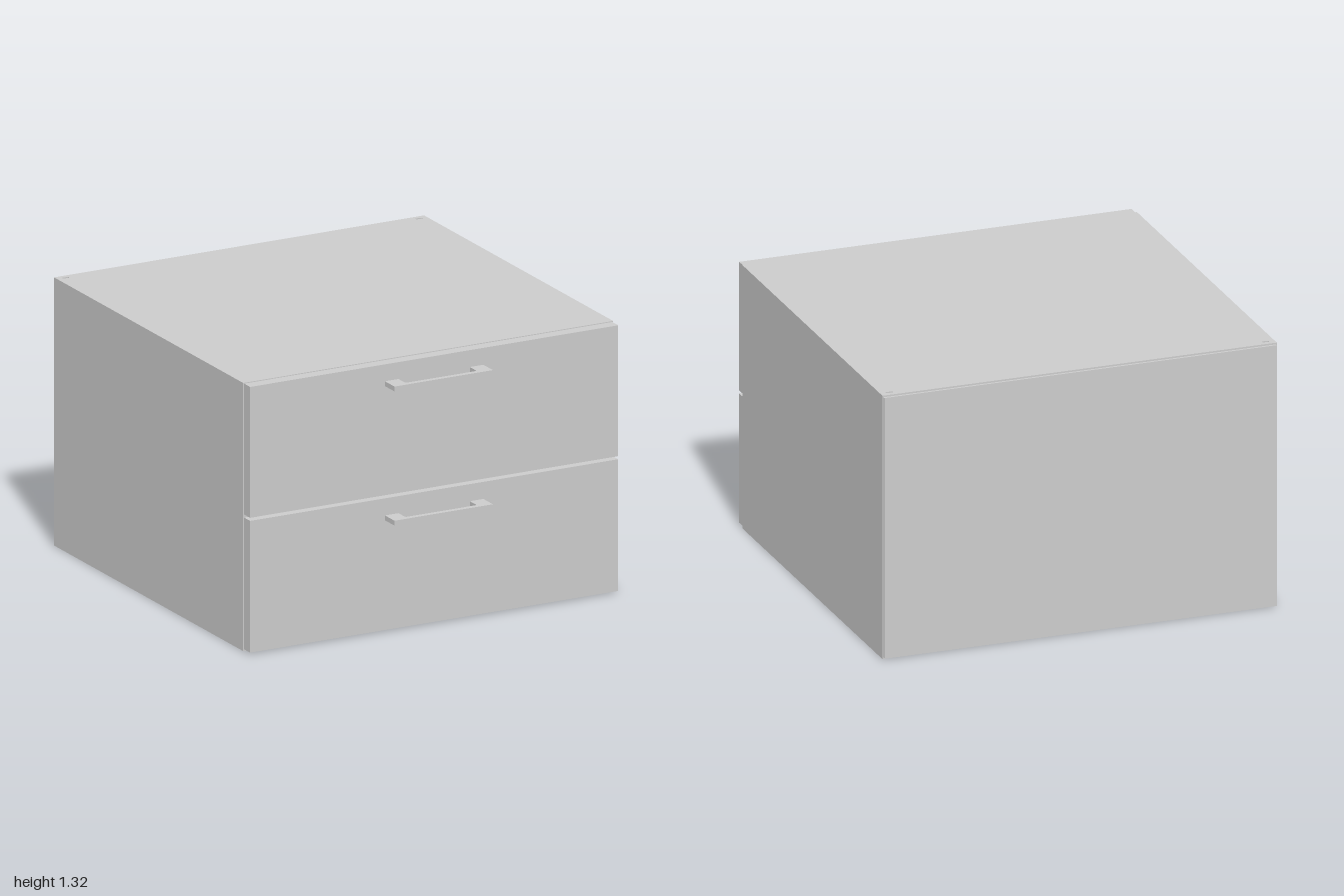
import * as THREE from 'three';

const material = new THREE.MeshStandardMaterial({ color: 0xcccccc });

function add(parent, name, geometry) {
  const mesh = new THREE.Mesh(geometry, material);
  mesh.name = name;
  parent.add(mesh);
  return mesh;
}

// Box given by its lower and upper limits on each axis
function box(parent, name, [x0, x1], [y0, y1], [z0, z1]) {
  const mesh = add(parent, name, new THREE.BoxGeometry(x1 - x0, y1 - y0, z1 - z0));
  mesh.position.set((x0 + x1) / 2, (y0 + y1) / 2, (z0 + z1) / 2);
  return mesh;
}

// Rounded rectangle traced into a shape or hole
function roundedRect(path, x0, y0, x1, y1, r) {
  path.moveTo(x0 + r, y0);
  path.lineTo(x1 - r, y0);
  path.absarc(x1 - r, y0 + r, r, -Math.PI / 2, 0);
  path.lineTo(x1, y1 - r);
  path.absarc(x1 - r, y1 - r, r, 0, Math.PI / 2);
  path.lineTo(x0 + r, y1);
  path.absarc(x0 + r, y1 - r, r, Math.PI / 2, Math.PI);
  path.lineTo(x0, y0 + r);
  path.absarc(x0 + r, y0 + r, r, Math.PI, Math.PI * 1.5);
  return path;
}

// Extrude a plan outline (x, z) upward from y = 0
function extrudePlan(shape, height) {
  const geometry = new THREE.ExtrudeGeometry(shape, { depth: height, bevelEnabled: false, curveSegments: 6 });
  return geometry.rotateX(Math.PI / 2).translate(0, height, 0);
}

const W = 0.985, H = 1.315, T = 0.02;   // half width, height, panel thickness
const BACK = -0.988, FRONT = 0.85;

// Top or bottom panel with a small slot in each rear corner
function slottedPanel() {
  const shape = new THREE.Shape();
  shape.moveTo(-W, BACK);
  shape.lineTo(W, BACK);
  shape.lineTo(W, FRONT);
  shape.lineTo(-W, FRONT);
  shape.closePath();
  for (const x of [-0.94, 0.94]) {
    shape.holes.push(roundedRect(new THREE.Path(), x - 0.017, -0.964, x + 0.017, -0.949, 0.007));
  }
  return extrudePlan(shape, T);
}

// U-shaped pull: two wide feet joined by a slim bar
function pullHandle() {
  const shape = new THREE.Shape();
  shape.moveTo(-0.262, 0.905);
  shape.lineTo(-0.19, 0.905);
  shape.lineTo(-0.19, 0.963);
  shape.quadraticCurveTo(-0.19, 0.975, -0.178, 0.975);
  shape.lineTo(0.178, 0.975);
  shape.quadraticCurveTo(0.19, 0.975, 0.19, 0.963);
  shape.lineTo(0.19, 0.905);
  shape.lineTo(0.262, 0.905);
  shape.lineTo(0.262, 1);
  shape.lineTo(-0.262, 1);
  shape.closePath();
  return extrudePlan(shape, 0.024);
}

function drawer(name, bottom, top, handleY) {
  const group = new THREE.Group();
  group.name = name;
  box(group, 'drawerFront', [-0.98, 0.98], [bottom, top], [FRONT, 0.908]);
  add(group, 'handle', pullHandle()).position.y = handleY;
  // Open tray behind the front
  const y0 = bottom + 0.05, y1 = top - 0.12;
  box(group, 'trayBottom', [-0.9, 0.9], [y0, y0 + T], [-0.85, FRONT]);
  box(group, 'trayBack', [-0.9, 0.9], [y0 + T, y1], [-0.85, -0.83]);
  for (const s of [-1, 1]) {
    box(group, 'traySide', [s * 0.89 - 0.01, s * 0.89 + 0.01], [y0 + T, y1], [-0.83, FRONT]);
  }
  return group;
}

export function createModel() {
  const model = new THREE.Group();
  model.name = 'drawerCabinet';

  // Carcass
  const carcass = new THREE.Group();
  carcass.name = 'carcass';
  model.add(carcass);
  add(carcass, 'bottomPanel', slottedPanel());
  add(carcass, 'topPanel', slottedPanel()).position.y = H - T;
  for (const s of [-1, 1]) {
    box(carcass, 'sidePanel', [s * (W - T / 2) - T / 2, s * (W - T / 2) + T / 2], [T, H - T], [BACK, FRONT]);
  }
  box(carcass, 'backPanel', [-0.98, 0.98], [0.008, 1.307], [-1, BACK]);
  box(carcass, 'middleRail', [-W + T, W - T], [0.64, 0.685], [0.78, FRONT - 0.001]);

  // Drawers
  model.add(drawer('lowerDrawer', 0.008, 0.654, 0.546));
  model.add(drawer('upperDrawer', 0.669, 1.311, 1.204));
  return model;
}
